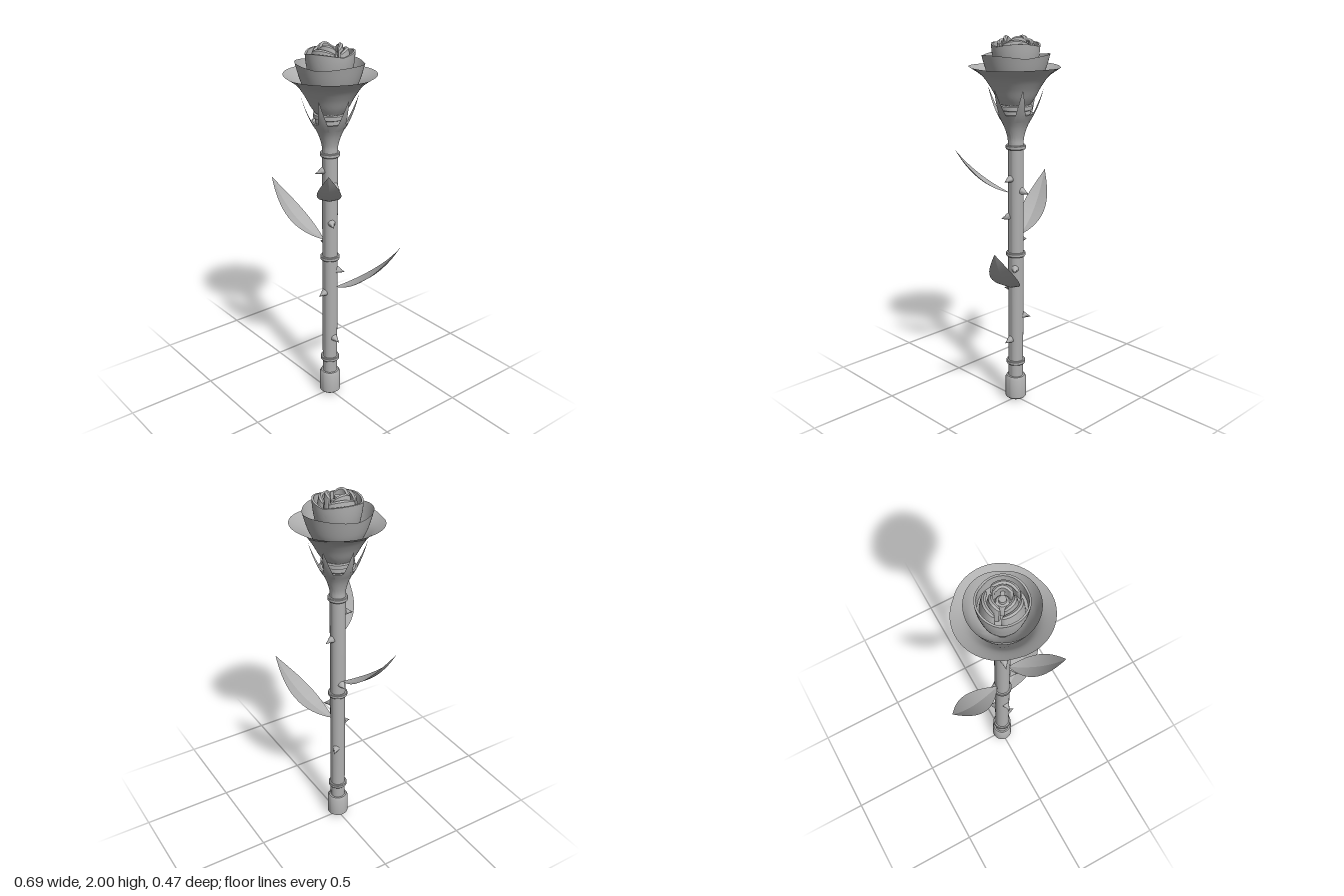
import * as THREE from 'three';
import { toCreasedNormals } from 'three/addons/utils/BufferGeometryUtils.js';

const gray = new THREE.MeshStandardMaterial({ color: 0xb0b0b0, side: THREE.DoubleSide });
gray.name = 'plain gray';

const rad = THREE.MathUtils.degToRad;

function add(parent, name, geometry, crease = 0.6) {
  const mesh = new THREE.Mesh(crease ? toCreasedNormals(geometry, crease) : geometry, gray);
  mesh.name = name;
  parent.add(mesh);
  return mesh;
}

const lathe = (pts, seg = 48, start = 0, sweep = Math.PI * 2) =>
  new THREE.LatheGeometry(pts.map(([r, y]) => new THREE.Vector2(r, y)), seg, start, sweep);

// Smooth profile through a few points
function smooth(pts, n = 14) {
  const curve = new THREE.SplineCurve(pts.map(([r, y]) => new THREE.Vector2(r, y)));
  return curve.getPoints(n).map((p) => [p.x, p.y]);
}

// Gently lobed rim: radius and height vary more towards the top
function lobe(geometry, y0, y1, grow, drop, turn) {
  const p = geometry.attributes.position;
  for (let i = 0; i < p.count; i++) {
    const x = p.getX(i), y = p.getY(i), z = p.getZ(i);
    const k = THREE.MathUtils.clamp((y - y0) / (y1 - y0), 0, 1) ** 2;
    const w = Math.abs(Math.sin(1.5 * (Math.atan2(z, x) + turn)));
    const s = 1 + grow * k * (w - 0.6);
    p.setXYZ(i, x * s, y - drop * k * (1 - w), z * s);
  }
  geometry.computeVertexNormals();
  return geometry;
}

// Blade swept along a rising curve (radius, height), folded along its midrib
function blade(p0, p1, p2, halfWidth, fold, rows = 16) {
  const curve = new THREE.QuadraticBezierCurve(
    new THREE.Vector2(...p0), new THREE.Vector2(...p1), new THREE.Vector2(...p2));
  const across = [-1, -0.5, 0, 0.5, 1];
  const pos = [], index = [];
  for (let i = 0; i <= rows; i++) {
    const t = i / rows, c = curve.getPoint(t), d = curve.getTangent(t), w = halfWidth(t);
    for (const u of across) {
      const lift = fold * w * Math.abs(u);
      pos.push(c.x - d.y * lift, c.y + d.x * lift, u * w);
    }
  }
  for (let i = 0; i < rows; i++) {
    for (let j = 0; j < 4; j++) {
      const a = i * 5 + j, b = a + 5;
      index.push(a, a + 1, b, a + 1, b + 1, b);
    }
  }
  const g = new THREE.BufferGeometry();
  g.setAttribute('position', new THREE.Float32BufferAttribute(pos, 3));
  g.setIndex(index);
  g.computeVertexNormals();
  return g;
}

// Thick curved petal with an arched top and rounded ends
function arcPetal(r, thick, from, to, yBase, yTop, arch) {
  const h = thick / 2, lean = 0.012;
  const g = lathe([[r - h, yBase], [r + h, yBase], [r + h - lean * 0.4, (yBase + yTop) / 2], [r + h - lean, yTop - 0.006],
    [r - lean, yTop], [r - h - lean, yTop - 0.006], [r - h, yBase]], 20, rad(90 - to), rad(to - from));
  const p = g.attributes.position, mid = rad((from + to) / 2), half = rad((to - from) / 2);
  for (let i = 0; i < p.count; i++) {
    const x = p.getX(i), y = p.getY(i), z = p.getZ(i);
    let a = Math.atan2(z, x) - mid;
    a = Math.atan2(Math.sin(a), Math.cos(a)) / half;
    const rr = Math.hypot(x, z), taper = Math.sqrt(Math.max(0, 1 - Math.abs(a) ** 8));
    const s = (r - lean / 2 + (rr - r + lean / 2) * taper) / rr;
    const k = (y - yBase) / (yTop - yBase);
    p.setXYZ(i, x * s, y - arch * k * a * a, z * s);
  }
  g.computeVertexNormals();
  return g;
}

export function createModel() {
  const model = new THREE.Group();
  model.name = 'rose';
  const rose = new THREE.Group();
  rose.name = 'stemAndFlower';
  rose.position.x = 0.004;
  model.add(rose);

  // Stem, end cap and collars
  add(rose, 'stem', new THREE.CylinderGeometry(0.041, 0.041, 1.36, 32).translate(0, 0.8, 0));
  add(rose, 'endCap', lathe([[0, 0.012], [0.05, 0.012], [0.058, 0.02], [0.058, 0.13],
    [0.05, 0.145], [0.04, 0.146]], 40));
  add(rose, 'endButton', new THREE.CylinderGeometry(0.015, 0.015, 0.014, 20).translate(0, 0.007, 0));
  for (const y of [0.23, 0.86, 1.44]) {
    add(rose, 'collar', lathe([[0.04, y - 0.011], [0.049, y - 0.011], [0.052, y - 0.007],
      [0.052, y + 0.007], [0.049, y + 0.011], [0.04, y + 0.011]], 40));
  }

  // Thorns: [height, angle from +x towards +z]
  const thorns = [[1.35, 105], [1.27, 0], [1.205, -100], [1.065, 25], [0.93, 180],
    [0.78, -40], [0.65, 85], [0.5, 225], [0.365, 0]];
  for (const [y, angle] of thorns) {
    const g = lathe([[0.02, 0], [0.017, 0.008], [0.009, 0.024], [0, 0.047]], 14);
    g.rotateZ(-Math.PI / 2 - 0.25).translate(0.037, y + 0.005, 0).rotateY(-rad(angle));
    add(rose, 'thorn', g, 0.9);
  }

  // Leaves: [base height, reach, rise, angle, half width]
  const leaves = [[0.68, 0.393, 0.3, -30, 0.074], [0.95, 0.367, 0.295, 160, 0.07],
    [1.195, 0.316, 0.235, 39, 0.062]];
  for (const [y, reach, rise, angle, w] of leaves) {
    const shape = (t) => w * (Math.sin(Math.PI * t ** 0.85) * 0.9 + 0.14 * Math.sin(Math.PI * t * t));
    const g = blade([0.035, y], [reach * 0.66, y + rise * 0.16], [reach, y + rise], shape, 0.22);
    add(model, 'leaf', g.rotateY(-rad(angle)), 0.3);
  }

  // Calyx with its sepals
  add(rose, 'calyx', lathe([...smooth([[0.041, 1.45], [0.043, 1.49], [0.062, 1.55], [0.096, 1.612]]),
    [0.088, 1.614], [0.06, 1.6]]));
  for (let i = 0; i < 6; i++) {
    const g = blade([0.076, 1.575], [0.118, 1.64], [0.146, 1.745],
      (t) => 0.034 * (1 - t) ** 0.8 * (1 - 0.25 * (1 - t) ** 6), 0.15, 10);
    add(rose, 'sepal', g.rotateY(i * Math.PI / 3), 0.5);
  }
  add(rose, 'receptacle', lathe([[0.06, 1.59], [0.075, 1.61], [0.075, 1.63], [0.084, 1.634],
    [0.084, 1.654], [0.075, 1.658], [0.075, 1.668], [0, 1.668]]));

  // Flower: three nested petal cups
  add(rose, 'outerPetals', lobe(lathe(smooth([[0.078, 1.662], [0.1, 1.695], [0.13, 1.75],
    [0.17, 1.805], [0.232, 1.85]], 20), 72), 1.7, 1.85, 0.05, 0.006, 0.3), 0.7);
  add(rose, 'middlePetals', lobe(lathe(smooth([[0.05, 1.68], [0.1, 1.73], [0.138, 1.8],
    [0.156, 1.85], [0.172, 1.912]], 16), 72), 1.8, 1.91, 0.02, 0.014, 1.1), 0.7);
  add(rose, 'innerPetals', lobe(lathe([...smooth([[0.04, 1.7], [0.09, 1.78], [0.112, 1.87],
    [0.12, 1.92], [0.123, 1.965]], 14), [0.113, 1.965], [0.11, 1.89], [0, 1.89]], 72),
    1.89, 1.965, 0.01, 0.016, 2.0), 0.7);

  // Bud: curled petals around a small core
  for (let i = 0; i < 3; i++) {
    const turn = i * 120;
    add(rose, 'curledPetal', arcPetal(0.092, 0.02, turn - 98, turn + 2, 1.885, 1.982, 0.02), 0.7);
    add(rose, 'budPetal', arcPetal(0.063, 0.02, turn + 8, turn + 112, 1.885, 2.0, 0.025), 0.7);
    const spoke = new THREE.BoxGeometry(0.04, 0.07, 0.018).translate(0.035, 1.92, 0);
    add(rose, 'budRib', spoke.rotateY(-rad(turn + 60)));
  }
  add(rose, 'budCore', lathe([[0.04, 1.885], [0.036, 1.94], [0.028, 1.955], [0.018, 1.957],
    [0.017, 1.975], [0, 1.977]], 32));

  return model;
}
